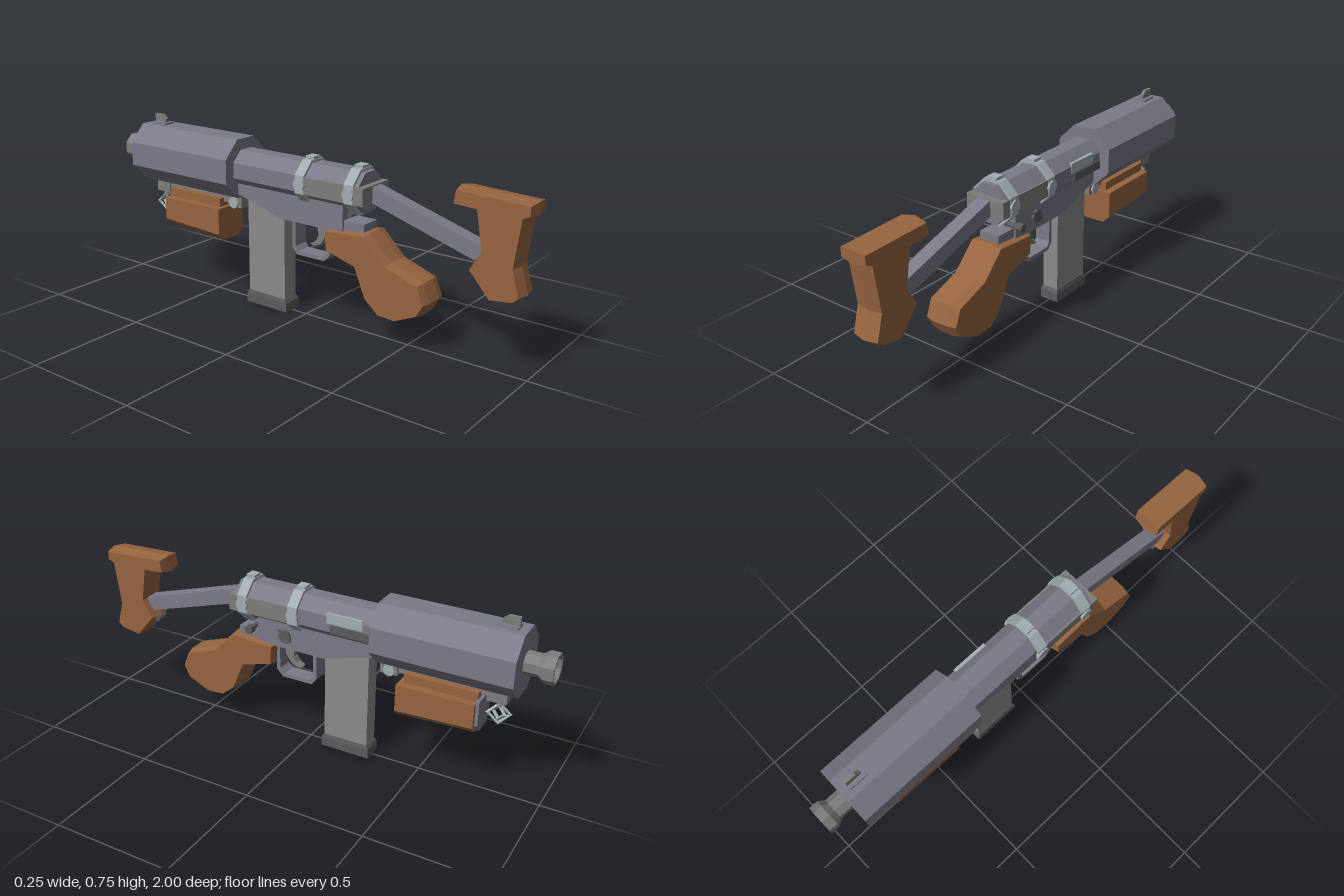
import * as THREE from 'three';

const mat = (color) => new THREE.MeshStandardMaterial({ color, flatShading: true, side: THREE.DoubleSide });

export function createModel() {
  const model = new THREE.Group();
  const steel = mat(0x7c7a88), grey = mat(0x7e7e7c), light = mat(0xa3adb1);
  const dark = mat(0x5c5c5c), magGrey = mat(0x8b8b8b), wood = mat(0x976540);
  const AXIS = 0.587; // height of the bore

  const add = (name, geometry, material, x = 0, y = 0, z = 0) => {
    const mesh = new THREE.Mesh(geometry, material);
    mesh.name = name;
    mesh.position.set(x, y, z);
    model.add(mesh);
    return mesh;
  };
  // Box given by its ranges in x, y and z
  const box = (name, material, [x0, x1], [y0, y1], [z0, z1]) =>
    add(name, new THREE.BoxGeometry(x1 - x0, y1 - y0, z1 - z0), material, (x0 + x1) / 2, (y0 + y1) / 2, (z0 + z1) / 2);
  // Side outline of [z, y] points, widened to +-half in x, rim pulled in by bevel
  const slab = (name, material, points, half, bevel = 0, flat = 0, hole = null) => {
    const vec = (list) => list.map(([z, y]) => new THREE.Vector2(z, y));
    const shape = new THREE.Shape(vec(points));
    if (hole) shape.holes.push(new THREE.Path(vec(hole)));
    const depth = bevel ? Math.max(2 * flat, 0.001) : 2 * half;
    const geometry = new THREE.ExtrudeGeometry(shape, {
      depth, bevelEnabled: bevel > 0, bevelSegments: 1,
      bevelThickness: half - depth / 2, bevelSize: bevel, bevelOffset: -bevel,
    });
    geometry.translate(0, 0, -depth / 2).rotateY(-Math.PI / 2);
    return add(name, geometry, material);
  };
  // Eight-sided bar along z, sized across its flats
  const octagon = (name, material, apothem, z0, z1) => {
    const r = apothem / Math.cos(Math.PI / 8);
    const geometry = new THREE.CylinderGeometry(r, r, z1 - z0, 8).rotateY(Math.PI / 8).rotateX(Math.PI / 2);
    return add(name, geometry, material, 0, AXIS, (z0 + z1) / 2);
  };
  // Pin running along x
  const pin = (name, material, r, x0, x1, y, z, sides = 8) =>
    add(name, new THREE.CylinderGeometry(r, r, x1 - x0, sides).rotateZ(Math.PI / 2), material, (x0 + x1) / 2, y, z);

  // Receiver and barrel shroud
  octagon('receiverTube', steel, 0.08, -0.33, 0.31);
  octagon('barrelShroud', steel, 0.126, -0.885, -0.32);
  slab('lowerReceiver', steel, [[0.22, 0.54], [-0.32, 0.54], [-0.32, 0.48], [-0.085, 0.415], [0.22, 0.415]], 0.053);
  box('rearTang', steel, [-0.045, 0.045], [0.425, 0.465], [0.21, 0.315]);
  box('ejectionPort', light, [0.05, 0.082], [0.59, 0.632], [-0.27, -0.115]);
  box('boltRail', dark, [0.06, 0.084], [0.55, 0.585], [-0.32, -0.13]);

  // Flared muzzle with a hollow mouth
  const muzzle = [[0.045, 0], [0.045, 0.055], [0.062, 0.078], [0.062, 0.115], [0.052, 0.115], [0.022, 0.06], [0, 0.06]];
  add('muzzle', new THREE.LatheGeometry(muzzle.map(([r, h]) => new THREE.Vector2(r, h)), 8, Math.PI / 8)
    .rotateX(-Math.PI / 2), grey, 0, AXIS, -0.885);

  // Sight
  box('sightBase', steel, [-0.025, 0.025], [0.705, 0.721], [-0.85, -0.77]);
  slab('sightBlade', grey, [[-0.785, 0.72], [-0.85, 0.72], [-0.85, 0.755], [-0.805, 0.755], [-0.785, 0.738]], 0.007);

  // Stock bracket, clamps and bolts
  box('stockBracket', grey, [-0.088, 0.088], [0.55, 0.62], [0.02, 0.335]);
  for (const z of [0.27, 0.035]) {
    octagon('clampBand', light, 0.091, z - 0.022, z + 0.022);
    box('clampTab', light, [-0.022, 0.022], [0.66, 0.69], [z - 0.02, z + 0.02]);
    for (const s of [-1, 1]) pin('clampBolt', light, 0.027, s * 0.09 - 0.008, s * 0.09 + 0.008, AXIS, z);
  }

  // Strut and shoulder stock
  slab('stockStrut', steel, [[0.34, 0.617], [0.34, 0.552], [0.78, 0.42], [0.83, 0.47]], 0.03);
  slab('shoulderStock', wood, [
    [1, 0.672], [0.7, 0.683], [0.69, 0.615], [0.785, 0.61], [0.81, 0.47], [0.765, 0.39],
    [0.855, 0.286], [0.95, 0.298], [0.98, 0.325], [0.95, 0.43], [0.972, 0.61], [1, 0.622],
  ], 0.057, 0.009);
  pin('stockPin', dark, 0.013, -0.025, 0.025, 0.378, 0.772);

  // Pistol grip
  slab('pistolGrip', wood, [
    [0.335, 0.435], [0.14, 0.42], [0.145, 0.33], [0.285, 0.29], [0.335, 0.17], [0.4, 0.115],
    [0.48, 0.11], [0.58, 0.155], [0.61, 0.21], [0.58, 0.285], [0.435, 0.335],
  ], 0.072, 0.008, 0.035);

  // Trigger and guard
  slab('triggerGuard', steel,
    [[0.145, 0.42], [0.145, 0.3], [0.115, 0.27], [-0.02, 0.27], [-0.045, 0.3], [-0.045, 0.42]], 0.034, 0, 0,
    [[0.128, 0.413], [0.128, 0.306], [0.108, 0.286], [-0.013, 0.286], [-0.028, 0.306], [-0.028, 0.413]]);
  slab('trigger', grey, [
    [0.115, 0.42], [0.065, 0.42], [0.075, 0.365], [0.06, 0.34], [0.035, 0.325],
    [0.045, 0.318], [0.085, 0.332], [0.11, 0.37],
  ], 0.015);

  // Controls on the left side
  pin('selectorDial', dark, 0.028, 0.045, 0.064, 0.472, 0.09);
  slab('selectorLever', dark, [[0.12, 0.497], [0.09, 0.495], [0.06, 0.455], [0.08, 0.442]], 0.006).position.x = 0.06;
  pin('catchStem', dark, 0.011, -0.03, 0.085, 0.485, 0.235);
  pin('catchKnob', dark, 0.018, 0.075, 0.105, 0.485, 0.235);

  // Magazine
  box('magazine', magGrey, [-0.036, 0.036], [0.05, 0.5], [-0.28, -0.085]);
  box('magazineBase', dark, [-0.043, 0.043], [0, 0.04], [-0.29, -0.075]);
  const taper = new THREE.CylinderGeometry(Math.SQRT1_2, Math.SQRT1_2 * 1.08, 0.015, 4).rotateY(Math.PI / 4);
  add('magazineBaseTop', taper.scale(0.078, 1, 0.199), dark, 0, 0.0475, -0.1825);

  // Foregrip with its end plate; the underside rises slightly toward the muzzle
  const section = (half, top) => new THREE.Shape([
    [-half, top], [-half, 0.285], [-half * 0.6, 0.255], [half * 0.6, 0.255], [half, 0.285], [half, top],
  ].map(([x, y]) => new THREE.Vector2(x, y)));
  const foregrip = new THREE.ExtrudeGeometry(section(0.078, 0.4), { depth: 0.32, bevelEnabled: false });
  const p = foregrip.attributes.position;
  for (let i = 0; i < p.count; i++) {
    if (p.getZ(i) < 0.1 && p.getY(i) < 0.3) p.setY(i, p.getY(i) + 0.015);
  }
  add('foregrip', foregrip, wood, 0, 0, -0.735);
  box('foregripLip', wood, [-0.045, 0.045], [0.395, 0.437], [-0.735, -0.435]);
  add('foregripEndPlate', new THREE.ExtrudeGeometry(section(0.062, 0.39), { depth: 0.013, bevelEnabled: false }),
    steel, 0, 0.02, -0.747);

  // Mounting rail under the shroud
  box('foregripRail', grey, [-0.018, 0.018], [0.42, 0.445], [-0.82, -0.34]);
  box('rearMount', grey, [-0.03, 0.03], [0.41, 0.465], [-0.4, -0.325]);
  pin('rearMountPin', light, 0.026, -0.038, 0.038, 0.43, -0.365);
  box('frontMount', grey, [-0.025, 0.025], [0.405, 0.465], [-0.838, -0.76]);

  // Sling link: two crossed diamond rings
  [[0.042, 0.25, 0.35], [0.028, -0.35, 0.355]].forEach(([r, turn, y]) => {
    const ring = add('slingRing', new THREE.TorusGeometry(r, 0.009, 4, 4), light, 0, y, -0.805);
    ring.rotation.y = Math.PI / 2 + turn;
  });
  box('slingHook', grey, [-0.008, 0.008], [0.38, 0.42], [-0.815, -0.795]);

  return model;
}
